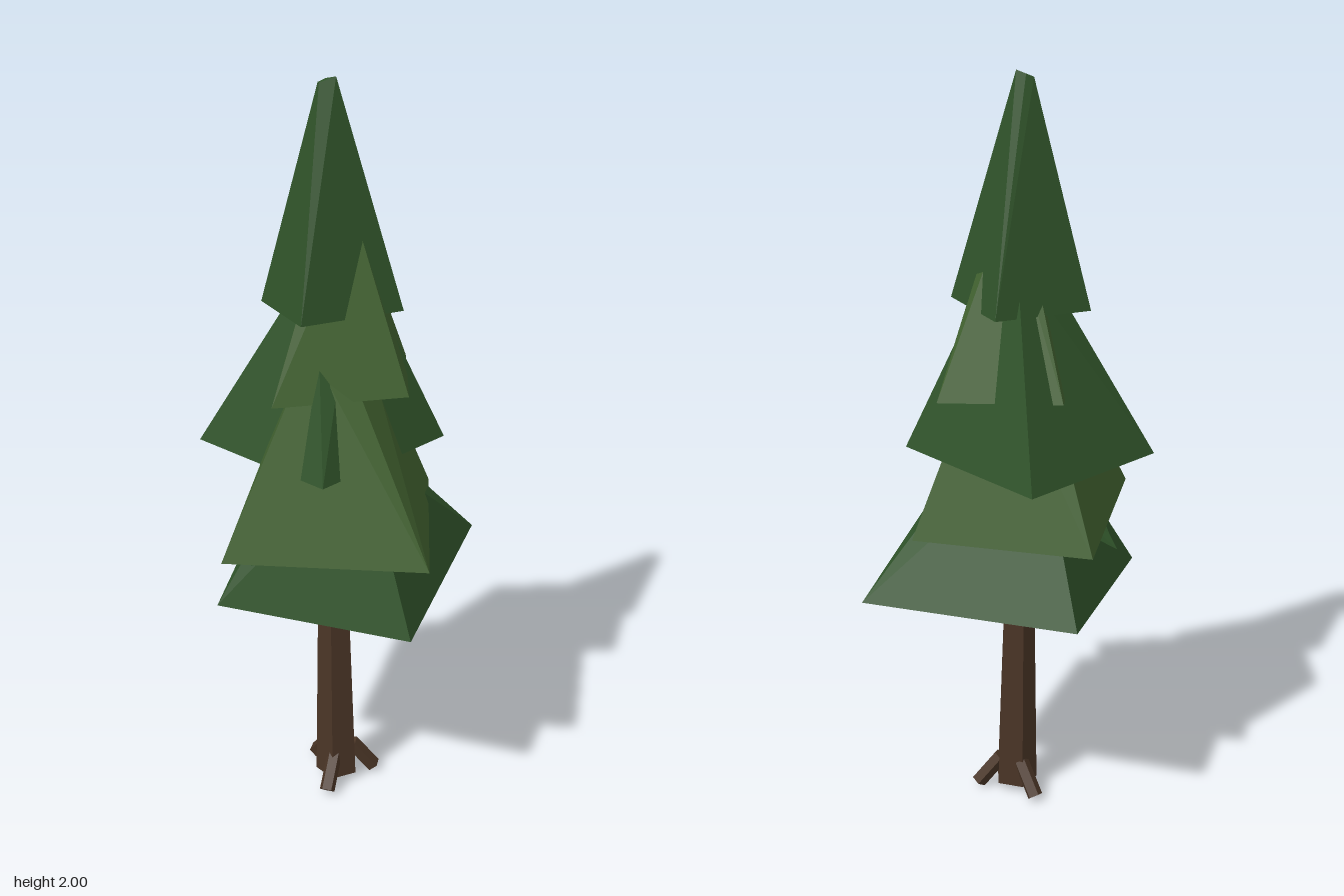
import * as THREE from 'three';
import { ConvexGeometry } from 'three/addons/geometries/ConvexGeometry.js';

const paint = (color) => new THREE.MeshStandardMaterial({ color, flatShading: true });

export function createModel() {
  const tree = new THREE.Group();
  tree.name = 'pineTree';
  const dark = paint(0x2f5229), light = paint(0x40602f), bark = paint(0x4a3526);

  const add = (name, geometry, material) => {
    const mesh = new THREE.Mesh(geometry, material);
    mesh.name = name;
    tree.add(mesh);
    return mesh;
  };
  const hull = (points) => new ConvexGeometry(points.map((p) => new THREE.Vector3(...p)));

  // Foliage tiers: skewed four-sided frustums, base corners then top corners
  const tiers = [
    ['bottomFoliage', dark,
      [[0.23, 0.685, -0.37], [0.305, 0.65, 0.2], [-0.215, 0.655, 0.28], [-0.318, 0.677, -0.22]],
      [[0.03, 1.11, -0.03], [0.12, 1.1, 0.1], [-0.03, 1.1, 0.09], [-0.12, 1.1, -0.06]]],
    ['lowerFoliage', light,
      [[0.338, 0.845, 0.17], [-0.145, 0.845, 0.365], [-0.312, 0.845, -0.135], [0.13, 0.85, -0.283]],
      [[0.04, 1.36, 0.07], [-0.02, 1.36, 0.12], [-0.08, 1.36, -0.02], [0.02, 1.36, -0.08]]],
    ['middleFoliage', dark,
      [[-0.342, 1.045, 0.13], [-0.23, 1.05, -0.295], [0.22, 1.05, -0.17], [0.08, 1.053, 0.245]],
      [[-0.06, 1.55, 0.02], [-0.06, 1.55, -0.08], [0.02, 1.55, -0.05], [-0.05, 1.55, 0.025]]],
    ['upperFoliage', light,
      [[0.213, 1.245, 0.04], [-0.08, 1.222, 0.21], [-0.215, 1.23, -0.12], [0.07, 1.222, -0.248]],
      [[0.04, 1.68, 0], [-0.02, 1.68, 0.02], [-0.03, 1.68, -0.01], [0, 1.68, -0.03]]],
    ['topFoliage', dark,
      [[-0.2, 1.425, 0.04], [-0.055, 1.43, -0.175], [0.153, 1.43, -0.05], [-0.022, 1.43, 0.16]],
      [[-0.053, 1.985, 0.008], [-0.038, 1.993, -0.004], [-0.01, 2, -0.003], [-0.047, 1.985, 0.013]]],
  ];
  for (const [name, material, base, top] of tiers) add(name, hull([...base, ...top]), material);

  // Small wedge of needles hanging below the lower tier
  add('needleWedge', hull([
    [-0.27, 0.775, 0.08], [-0.24, 0.81, 0.09], [-0.13, 0.835, 0.12],
    [-0.08, 0.8, 0.22], [-0.12, 0.79, 0.26], [-0.2, 0.78, 0.1],
  ]), dark);

  // Five-sided trunk, narrowing and leaning slightly to the right
  const ring = (x, y, z, r) => Array.from({ length: 5 }, (_, i) => {
    const a = (i / 5) * Math.PI * 2 + 0.25;
    return [x + r * Math.sin(a), y, z + r * Math.cos(a)];
  });
  add('trunk', hull([...ring(0, 0.025, 0.012, 0.06), ...ring(-0.017, 0.8, 0.002, 0.039)]), bark);

  // Root stubs slanting from the trunk to the ground
  const up = new THREE.Vector3(0, 1, 0);
  for (const [x, z] of [[-0.093, -0.037], [0.083, -0.05], [0.02, 0.115]]) {
    const start = new THREE.Vector3(x * 0.35, 0.1, z * 0.35);
    const end = new THREE.Vector3(x, 0.018, z);
    const dir = end.clone().sub(start);
    const root = add('root', new THREE.CylinderGeometry(0.022, 0.022, dir.length(), 5), bark);
    root.position.copy(start).add(end).multiplyScalar(0.5);
    root.quaternion.setFromUnitVectors(up, dir.normalize());
  }
  return tree;
}
